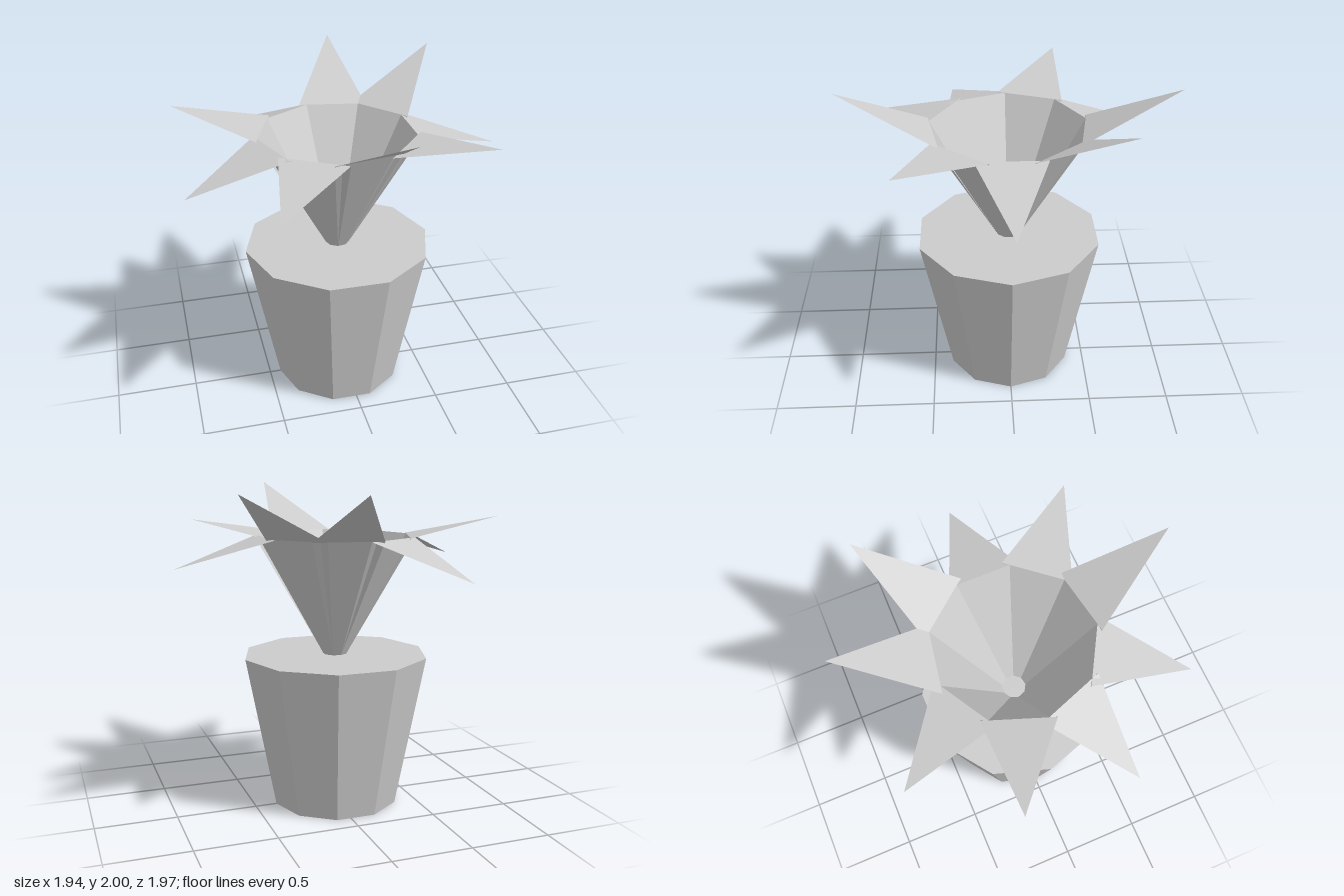
import * as THREE from 'three';

const CENTRE_X = -0.033;
const POT_TOP = 0.96;

// One folded leaf pointing along +x: a flared blade, then a triangular tip
function leafGeometry(tipY) {
  const foot = 0.07, footHalf = 0.026;
  const fold = 0.448, foldHalf = 0.21, foldY = 1.7;
  const a = [foot, POT_TOP, footHalf], b = [foot, POT_TOP, -footHalf];
  const c = [fold, foldY, -foldHalf], d = [fold, foldY, foldHalf];
  const tip = [1, tipY, 0];
  const geometry = new THREE.BufferGeometry();
  const corners = [a, b, c, a, c, d, d, c, tip].flat();
  geometry.setAttribute('position', new THREE.Float32BufferAttribute(corners, 3));
  geometry.computeVertexNormals();
  return geometry;
}

export function createModel() {
  const model = new THREE.Group();
  model.name = 'pottedPlant';

  const potGrey = new THREE.MeshStandardMaterial({ color: 0xcccccc, flatShading: true, side: THREE.DoubleSide });
  potGrey.name = 'light grey';

  // Ten-sided tapered pot with a flat top
  const pot = new THREE.Mesh(
    new THREE.CylinderGeometry(0.583, 0.398, POT_TOP, 10, 1, false, Math.PI / 2), potGrey);
  pot.name = 'pot';
  pot.position.set(CENTRE_X, POT_TOP / 2, 0);
  model.add(pot);

  // Nine leaves in a ring, each with its own tip height
  const leaves = new THREE.Group();
  leaves.name = 'leaves';
  leaves.position.x = CENTRE_X;
  const tipHeights = [1.53, 1.775, 2, 1.59, 1.53, 1.82, 1.49, 1.985, 1.985];
  tipHeights.forEach((tipY, i) => {
    const leaf = new THREE.Mesh(leafGeometry(tipY), potGrey);
    leaf.name = 'leaf' + (i + 1);
    leaf.rotation.y = -i * Math.PI * 2 / tipHeights.length;
    leaves.add(leaf);
  });
  model.add(leaves);

  return model;
}
